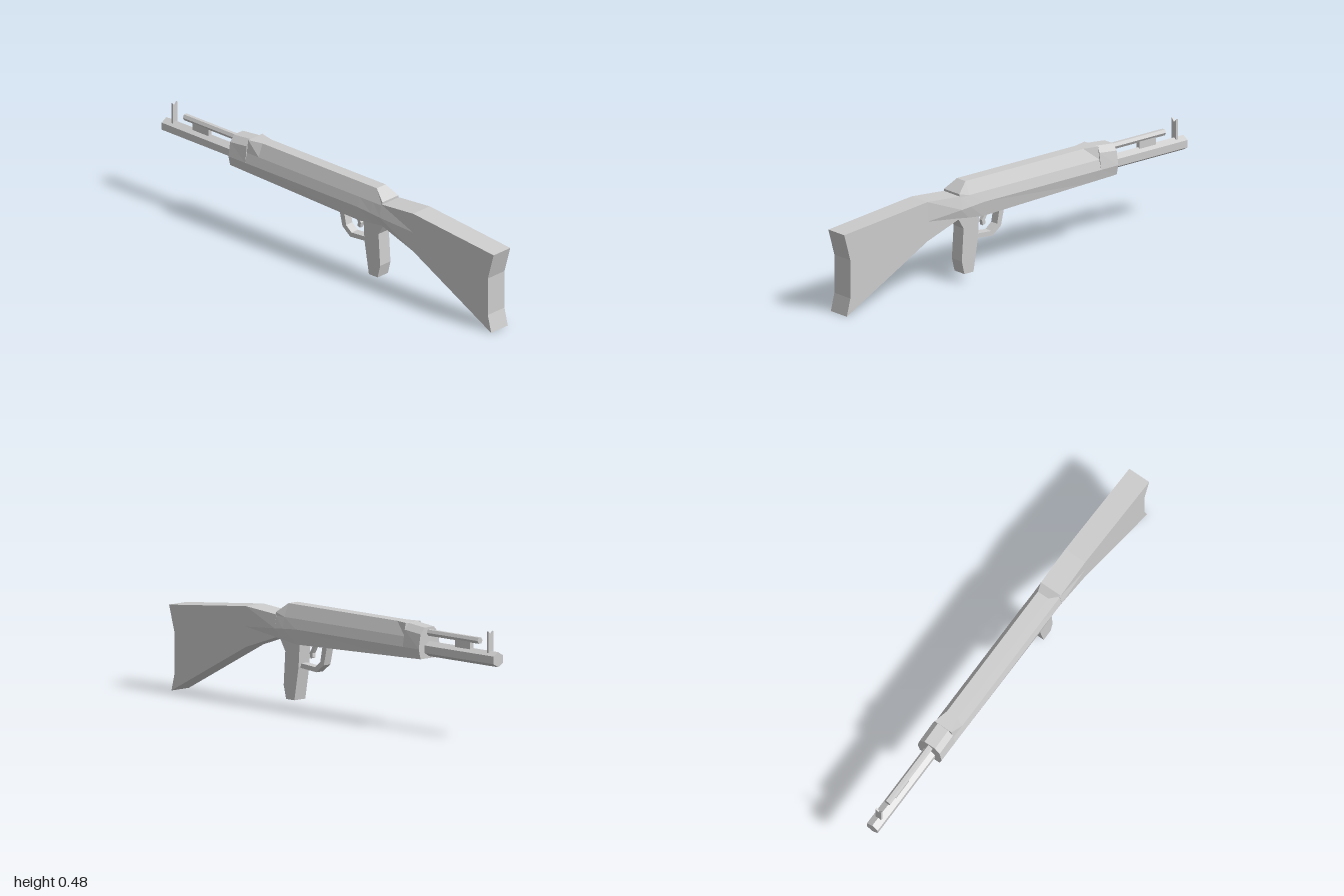
import * as THREE from 'three';

const metal = new THREE.MeshStandardMaterial({ color: 0xcccccc });
metal.name = 'light grey';

// Mesh with hard-edged facets
function part(name, geometry) {
  const g = geometry.index ? geometry.toNonIndexed() : geometry;
  g.computeVertexNormals();
  const mesh = new THREE.Mesh(g, metal);
  mesh.name = name;
  return mesh;
}

// Side outline [z, y] extruded across x
function sideProfile(points, width) {
  const shape = new THREE.Shape(points.map(([z, y]) => new THREE.Vector2(z, y)));
  const g = new THREE.ExtrudeGeometry(shape, { depth: width, bevelEnabled: false });
  return g.translate(0, 0, -width / 2).rotateY(-Math.PI / 2);
}

// Mirrored half-sections { z, half: [x, y] from bottom to top }, rear (+z) to muzzle (-z)
function loft(sections, openBottom = false) {
  const rings = sections.map(({ z, half }) => [
    ...half.map(([x, y]) => [x, y, z]),
    ...half.slice().reverse().map(([x, y]) => [-x, y, z]),
  ]);
  const n = rings[0].length, idx = [];
  for (let s = 0; s < rings.length - 1; s++) {
    for (let i = 0; i < n - (openBottom ? 1 : 0); i++) {
      const a = s * n + i, a2 = s * n + (i + 1) % n;
      idx.push(a, a + n, a2, a2, a + n, a2 + n);
    }
  }
  const last = (rings.length - 1) * n;
  for (let i = 1; i < n - 1; i++) idx.push(0, i, i + 1, last, last + i + 1, last + i);
  const g = new THREE.BufferGeometry();
  g.setAttribute('position', new THREE.Float32BufferAttribute(rings.flat(2), 3));
  g.setIndex(idx);
  return g;
}

// Sloping underside of the receiver
const underside = z => 0.298 - 0.03 * z;
function followUnderside(g) {
  const p = g.attributes.position;
  for (let i = 0; i < p.count; i++) p.setY(i, p.getY(i) + underside(p.getZ(i)));
  return g;
}

const section = (z, topX, topY, bottom = underside(z), mid = 0.36, shoulder = 0.405) => ({
  z, half: [[0.053, bottom], [0.064, mid], [0.053, shoulder], [topX, topY]],
});

export function createModel() {
  const model = new THREE.Group();
  model.name = 'longGun';

  // Shoulder stock with a hollowed butt, then its flared neck
  model.add(part('stock', sideProfile([
    [0.52, 0.245], [0.985, 0], [0.965, 0.08], [0.965, 0.255], [1.0, 0.377], [0.52, 0.425],
  ], 0.106)));
  model.add(part('stockNeck', loft([
    { z: 0.52, half: [[0.053, 0.245], [0.053, 0.335], [0.053, 0.425]] },
    { z: 0.33, half: [[0.053, 0.31], [0.064, 0.35], [0.053, 0.41]] },
  ])));

  // Receiver: sloped rear, long body, and sight bump near the muzzle end
  model.add(part('receiverRear', loft([
    section(0.335, 0.051, 0.42, 0.31, 0.35),
    section(0.28, 0.028, 0.463, 0.302, 0.354),
    section(0.2, 0.028, 0.463),
  ])));
  model.add(part('receiver', loft([
    section(0.2, 0.028, 0.463),
    section(-0.4, 0.028, 0.463),
    section(-0.47, 0.045, 0.463),
    section(-0.4705, 0.028, 0.462, undefined, 0.36, 0.435),
    section(-0.57, 0.028, 0.452, undefined, 0.36, 0.425),
  ], true)));

  // Underside plate with a rectangular recess
  const plate = new THREE.Shape([[-0.053, -0.57], [0.053, -0.57], [0.053, 0.2], [-0.053, 0.2]]
    .map(p => new THREE.Vector2(...p)));
  plate.holes.push(new THREE.Path([[-0.028, -0.39], [-0.028, -0.14], [0.028, -0.14], [0.028, -0.39]]
    .map(p => new THREE.Vector2(...p))));
  model.add(part('underside', followUnderside(new THREE.ShapeGeometry(plate).rotateX(Math.PI / 2))));
  const recess = new THREE.BoxGeometry(0.056, 0.03, 0.25).scale(-1, 1, 1).translate(0, 0.015, -0.265);
  model.add(part('undersideRecess', followUnderside(recess)));

  // Grip, trigger guard and trigger
  model.add(part('grip', sideProfile([
    [0.335, 0.315], [0.295, 0.25], [0.305, 0.1], [0.29, 0.04], [0.238, 0.04],
    [0.212, 0.19], [0.205, 0.3], [0.24, 0.32],
  ], 0.066)));
  model.add(part('triggerGuard', sideProfile([
    [0.215, 0.185], [0.115, 0.176], [0.068, 0.212], [0.046, 0.305],
    [0.074, 0.305], [0.09, 0.224], [0.122, 0.198], [0.215, 0.205],
  ], 0.04)));
  model.add(part('trigger', sideProfile([
    [0.168, 0.255], [0.163, 0.23], [0.148, 0.235], [0.15, 0.255], [0.138, 0.275],
    [0.122, 0.3], [0.14, 0.305], [0.155, 0.275],
  ], 0.018)));

  // Six-sided barrel, edge up, and the flat-topped rod above it
  const hexBar = (name, r, z0, z1, y, twist) => {
    const g = new THREE.CylinderGeometry(r, r, z0 - z1, 6)
      .rotateY(twist).rotateX(Math.PI / 2).translate(0, y, (z0 + z1) / 2);
    model.add(part(name, g));
  };
  hexBar('barrel', 0.0335, -0.55, -1.0, 0.357, 0);
  hexBar('upperRod', 0.0155, -0.55, -0.887, 0.428, Math.PI / 6);
  model.add(part('rodBracket',
    new THREE.BoxGeometry(0.02, 0.045, 0.095).translate(0, 0.4, -0.787)));

  // Front sight: upright plate with a V notch
  const sight = new THREE.Shape([[-0.015, 0.37], [0.015, 0.37], [0.015, 0.477], [0, 0.462], [-0.015, 0.477]]
    .map(p => new THREE.Vector2(...p)));
  model.add(part('frontSight',
    new THREE.ExtrudeGeometry(sight, { depth: 0.009, bevelEnabled: false }).translate(0, 0, -0.955)));

  return model;
}
